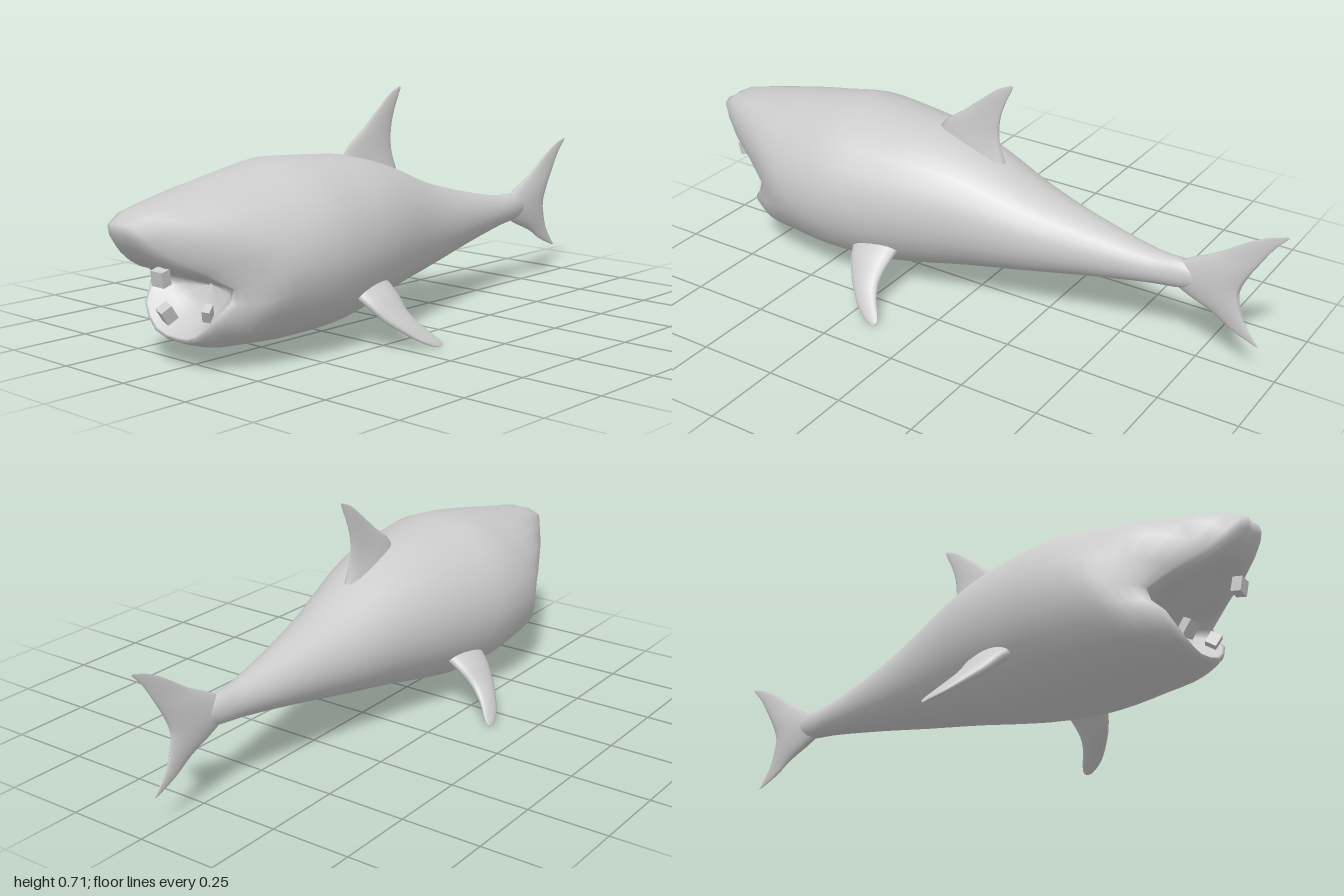
import * as THREE from 'three';

const mat = new THREE.MeshStandardMaterial({ color: 0xcccccc, side: THREE.DoubleSide });
const V = (x, y, z) => new THREE.Vector3(x, y, z);

// Smooth skin through a row of closed rings (same point count in each)
function skin(name, rings, around, sub) {
  const fine = rings.map((r) => {
    const c = new THREE.CatmullRomCurve3(r, true, 'catmullrom', 0.5);
    return Array.from({ length: around }, (_, j) => c.getPoint(j / around));
  });
  const rows = (rings.length - 1) * sub + 1;
  const pos = new Array(rows * around * 3);
  for (let j = 0; j < around; j++) {
    const line = new THREE.CatmullRomCurve3(fine.map((r) => r[j]));
    for (let i = 0; i < rows; i++) line.getPoint(i / (rows - 1)).toArray(pos, (i * around + j) * 3);
  }
  const index = [];
  for (let i = 0; i < rows - 1; i++) {
    for (let j = 0; j < around; j++) {
      const a = i * around + j, b = i * around + (j + 1) % around;
      index.push(a, a + around, b, b, a + around, b + around);
    }
  }
  const g = new THREE.BufferGeometry();
  g.setAttribute('position', new THREE.Float32BufferAttribute(pos, 3));
  g.setIndex(index);
  g.computeVertexNormals();
  const m = new THREE.Mesh(g, mat);
  m.name = name;
  return m;
}

// Elliptical body ring
function oval([z, top, bottom, w]) {
  const c = (top + bottom) / 2, h = (top - bottom) / 2;
  return Array.from({ length: 12 }, (_, k) => {
    const a = (k * Math.PI) / 6;
    return V(w * Math.sin(a), c + h * Math.cos(a), z);
  });
}

// Symmetric head ring from 7 points running from top to bottom on the left
function mirrored(half) {
  const left = half.map((p) => V(...p));
  const right = left.slice(1, 6).reverse().map((p) => V(-p.x, p.y, p.z));
  return [...left, ...right];
}

// Fin from sections [x, y, leading z, trailing z, half thickness] along a span direction
function fin(name, sections, sx, sy) {
  const rings = sections.map(([x, y, z0, z1, t]) => Array.from({ length: 12 }, (_, k) => {
    const a = (k * Math.PI) / 6, s = t * Math.sin(a);
    return V(x - sy * s, y + sx * s, (z0 + z1) / 2 + ((z0 - z1) / 2) * Math.cos(a));
  }));
  return skin(name, rings, 16, 3);
}

export function createModel() {
  const model = new THREE.Group();
  model.name = 'shark';

  // Trunk, tail to cheeks: z, top, bottom, half width
  const trunk = [
    [-0.79, 0.275, 0.255, 0.006],
    [-0.7, 0.31, 0.222, 0.03],
    [-0.6, 0.315, 0.21, 0.048],
    [-0.4, 0.355, 0.175, 0.09],
    [-0.2, 0.41, 0.135, 0.14],
    [0, 0.488, 0.097, 0.195],
    [0.15, 0.527, 0.065, 0.238],
    [0.3, 0.543, 0.038, 0.27],
    [0.45, 0.55, 0.03, 0.285],
    [0.61, 0.526, 0.037, 0.264],
  ].map(oval);

  // Jaws, lips and the hollow of the mouth
  const head = [
    [[0, 0.487, 0.78], [0.1, 0.47, 0.79], [0.185, 0.39, 0.77], [0.222, 0.255, 0.69],
      [0.195, 0.145, 0.72], [0.11, 0.075, 0.75], [0, 0.054, 0.75]],
    [[0, 0.425, 1], [0.055, 0.418, 0.995], [0.105, 0.335, 0.91], [0.17, 0.24, 0.755],
      [0.15, 0.165, 0.8], [0.085, 0.1, 0.82], [0, 0.083, 0.815]],
    [[0, 0.335, 0.955], [0.05, 0.33, 0.945], [0.085, 0.295, 0.885], [0.15, 0.235, 0.745],
      [0.125, 0.168, 0.775], [0.07, 0.115, 0.79], [0, 0.1, 0.785]],
    [[0, 0.3, 0.87], [0.04, 0.29, 0.86], [0.07, 0.265, 0.81], [0.11, 0.228, 0.715],
      [0.09, 0.185, 0.72], [0.05, 0.155, 0.72], [0, 0.145, 0.72]],
    [[0, 0.222, 0.69], [0.003, 0.221, 0.69], [0.005, 0.219, 0.688], [0.006, 0.215, 0.685],
      [0.005, 0.212, 0.685], [0.003, 0.21, 0.685], [0, 0.209, 0.685]],
  ].map(mirrored);
  model.add(skin('body', [...trunk, ...head], 24, 3));

  // Dorsal fin
  model.add(fin('dorsalFin', [
    [0, 0.44, 0.14, -0.09, 0.036],
    [0, 0.53, 0.15, -0.062, 0.018],
    [0, 0.6, 0.065, -0.064, 0.01],
    [0, 0.66, -0.008, -0.083, 0.006],
    [0, 0.7, -0.06, -0.102, 0.003],
    [0, 0.716, -0.098, -0.108, 0.001],
  ], 0, 1));

  // Tail fin, lower lobe to upper lobe
  model.add(fin('tailFin', [
    [0, 0.098, -0.932, -0.942, 0.001],
    [0, 0.13, -0.855, -0.916, 0.005],
    [0, 0.17, -0.79, -0.89, 0.01],
    [0, 0.213, -0.69, -0.876, 0.018],
    [0, 0.262, -0.62, -0.87, 0.023],
    [0, 0.32, -0.7, -0.893, 0.018],
    [0, 0.37, -0.795, -0.922, 0.01],
    [0, 0.43, -0.885, -0.96, 0.005],
    [0, 0.464, -0.95, -0.99, 0.002],
    [0, 0.476, -0.99, -1, 0.001],
  ], 0, 1));

  // Pectoral fins
  for (const s of [1, -1]) {
    model.add(fin(s > 0 ? 'leftPectoralFin' : 'rightPectoralFin', [
      [0.19, 0.18, 0.35, 0.18, 0.03],
      [0.25, 0.138, 0.328, 0.187, 0.025],
      [0.292, 0.094, 0.3, 0.192, 0.021],
      [0.33, 0.058, 0.262, 0.175, 0.015],
      [0.362, 0.026, 0.22, 0.148, 0.009],
      [0.38, 0.008, 0.182, 0.14, 0.005],
      [0.386, 0.002, 0.162, 0.147, 0.001],
    ].map(([x, ...r]) => [s * x, ...r]), s * 0.75, -0.66));
  }

  // Loose blocky teeth: position, size, rotation
  [
    ['upperTooth', [0.058, 0.28, 0.912], [0.042, 0.044, 0.03], [0.2, 0.1, -0.07]],
    ['lowerRightTooth', [-0.05, 0.147, 0.805], [0.036, 0.046, 0.036], [0.6, -0.3, -0.05]],
    ['lowerLeftTooth', [0.104, 0.17, 0.792], [0.022, 0.038, 0.034], [0.6, 0.4, -0.4]],
  ].forEach(([name, p, size, r]) => {
    const tooth = new THREE.Mesh(new THREE.BoxGeometry(...size), mat);
    tooth.name = name;
    tooth.position.set(...p);
    tooth.rotation.set(...r);
    model.add(tooth);
  });

  return model;
}
